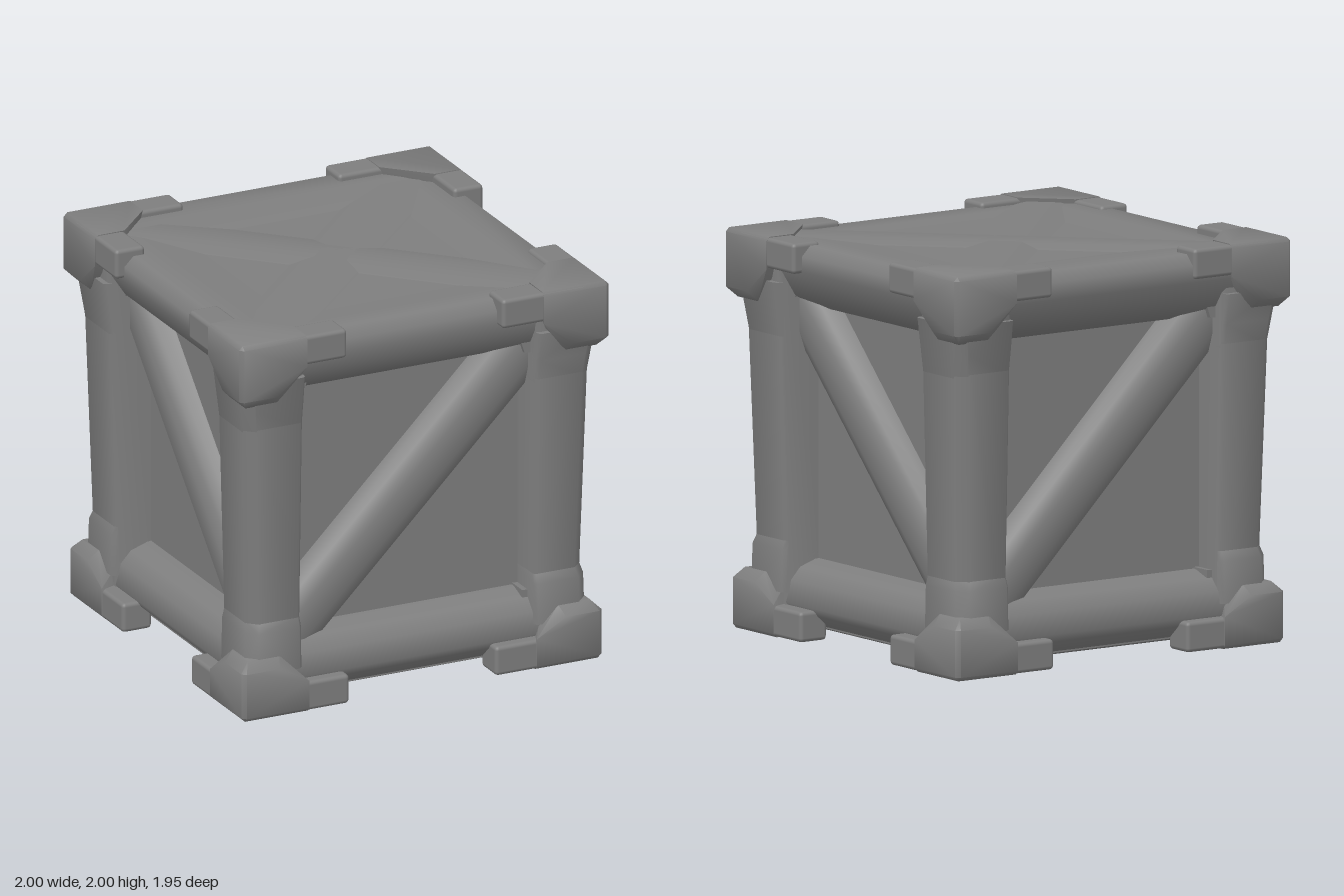
import * as THREE from 'three';
import { toCreasedNormals } from 'three/addons/utils/BufferGeometryUtils.js';
import { ConvexGeometry } from 'three/addons/geometries/ConvexGeometry.js';
import { RoundedBoxGeometry } from 'three/addons/geometries/RoundedBoxGeometry.js';

const mat = new THREE.MeshStandardMaterial({ color: 0x7e7e7e });

function add(parent, name, geo) {
  const mesh = new THREE.Mesh(geo, mat);
  mesh.name = name;
  parent.add(mesh);
  return mesh;
}

// soft-edged convex solid around a set of [x, y, z] points
function hull(parent, name, pts) {
  const geo = new ConvexGeometry(pts.map(p => new THREE.Vector3(...p)));
  return add(parent, name, toCreasedNormals(geo, 0.9));
}

// prism along x with a [z, y] profile
function bar(parent, name, half, profile) {
  return hull(parent, name, profile.flatMap(([z, y]) => [[-half, y, z], [half, y, z]]));
}

// outline of a corner post in the +x +z quadrant, at height y
function postRing(sx, sz, y, ox, oz, ix, iz) {
  const b = 0.05, c = 0.015;
  return [
    [ix, iz], [ix, oz - c], [ix + c, oz], [ox - b, oz],
    [ox, oz - b], [ox, iz + c], [ox - c, iz],
  ].map(([x, z]) => [sx * x, y, sz * z]);
}

// corner bracket: chamfered core plus two tabs; distances run inward from the corner
function bracket(parent, name, corner, dir, h) {
  const place = p => p.map((v, i) => corner[i] + dir[i] * v);
  const bevel = 0.02, k = 0.16, e = 0.05;
  const core = [
    [0, 0, 0], [0.2, h - e, 0], [0, h - e, 0], [0, h - e, 0.2],
    [0.36, k, 0], [0.36, 0, 0], [0.36, 0, k],
    [0, k, 0.36], [0, 0, 0.36], [k, 0, 0.36],
    [e, h, e], [0.22, h, e], [e, h, 0.22], [0.22, h, 0.22],
  ];
  const pts = [];
  for (const p of core) {
    const zeros = [0, 1, 2].filter(i => p[i] === 0);
    if (!zeros.length) pts.push(place(p));
    for (const z of zeros) pts.push(place(p.map((v, i) => (v === 0 && i !== z ? bevel : v))));
  }
  const g = new THREE.Group();
  g.name = name;
  parent.add(g);
  hull(g, 'bracketCore', pts);
  // tabs reach from inside the core along the two horizontal edges
  for (const [size, start] of [
    [[0.46, 0.15, 0.16], [0.12, 0.004, 0.004]],
    [[0.16, 0.15, 0.46], [0.004, 0.004, 0.12]],
  ]) {
    const tab = add(g, 'bracketTab', new RoundedBoxGeometry(...size, 2, 0.02));
    tab.position.set(...place(size.map((v, i) => start[i] + v / 2)));
  }
}

export function createModel() {
  const crate = new THREE.Group();
  crate.name = 'crate';

  // recessed wall panels, lid and floor
  add(crate, 'panels', new THREE.BoxGeometry(1.42, 1.7, 1.42)).position.y = 1;
  add(crate, 'lidPanel', new THREE.BoxGeometry(1.7, 0.14, 1.7)).position.y = 1.865;
  add(crate, 'floorPanel', new THREE.BoxGeometry(1.6, 0.12, 1.6)).position.y = 0.12;

  // each side: top rail, bottom rail and a diagonal brace
  for (let i = 0; i < 4; i++) {
    const side = new THREE.Group();
    side.name = ['front', 'left', 'back', 'right'][i] + 'Side';
    side.rotation.y = i * Math.PI / 2;
    crate.add(side);
    const out = [0.91, 0.945, 0.955, 0.95][i];
    const top = [1.945, 1.955, 1.965, 1.955][i];
    bar(side, 'topRail', 0.85, [
      [0.6, 1.625], [0.76, 1.625], [0.85, 1.68], [0.9, 1.76], [out, 1.83],
      [out, top - 0.05], [out - 0.05, top], [0.74, top - 0.004], [0.5, 1.93],
    ]);
    bar(side, 'bottomRail', 0.82, [
      [0.6, 0.38], [0.73, 0.37], [0.82, 0.34], [0.875, 0.28], [0.895, 0.17],
      [0.87, 0.13], [0.78, 0.05], [0.6, 0.05],
    ]);
    const brace = bar(side, 'diagonalBrace', 0.93, [
      [0.64, -0.18], [0.72, -0.17], [0.79, -0.13], [0.825, -0.06],
      [0.825, 0.06], [0.79, 0.13], [0.72, 0.17], [0.64, 0.18],
    ]);
    brace.position.y = 1;
    brace.rotation.z = (i % 2 ? -1 : 1) * Math.PI / 4;
  }

  // crossed ridges on the lid, one ridge under the floor
  for (const s of [-1, 1]) {
    bar(crate, 'lidRidge', 1.15, [
      [-0.2, 1.93], [-0.08, 1.957], [0.08, 1.957], [0.2, 1.93], [0, 1.85],
    ]).rotation.y = s * Math.PI / 4;
  }
  bar(crate, 'floorRidge', 1.1, [
    [-0.2, 0.07], [-0.07, 0.04], [0.07, 0.04], [0.2, 0.07], [0, 0.12],
  ]).rotation.y = Math.PI / 4;

  // corner posts, slightly wider at the top, with brackets at both ends
  for (const sx of [-1, 1]) for (const sz of [-1, 1]) {
    const ring = (y, ox, oz, ix = 0.63, iz = 0.585) => postRing(sx, sz, y, ox, oz, ix, iz);
    hull(crate, 'cornerPost', [...ring(0.15, 0.895, 0.872), ...ring(1.85, 0.94, 0.92)]);
    // flares where the post runs into the brackets
    hull(crate, 'upperFlare', [
      ...ring(1.48, 0.93, 0.907), ...ring(1.6, 0.942, 0.925), ...ring(1.75, 0.965, 0.945),
    ]);
    hull(crate, 'lowerFlare', [
      ...ring(0.48, 0.902, 0.88), ...ring(0.43, 0.915, 0.9), ...ring(0.22, 0.92, 0.905),
    ]);
    const topY = sz > 0 ? 1.975 : 2;
    bracket(crate, 'topBracket', [sx, topY, sz * 0.975], [-sx, -1, -sz], 0.34);
    bracket(crate, 'bottomBracket', [sx * 0.975, 0.005, sz * 0.95], [-sx, 1, -sz], 0.3);
  }
  return crate;
}
